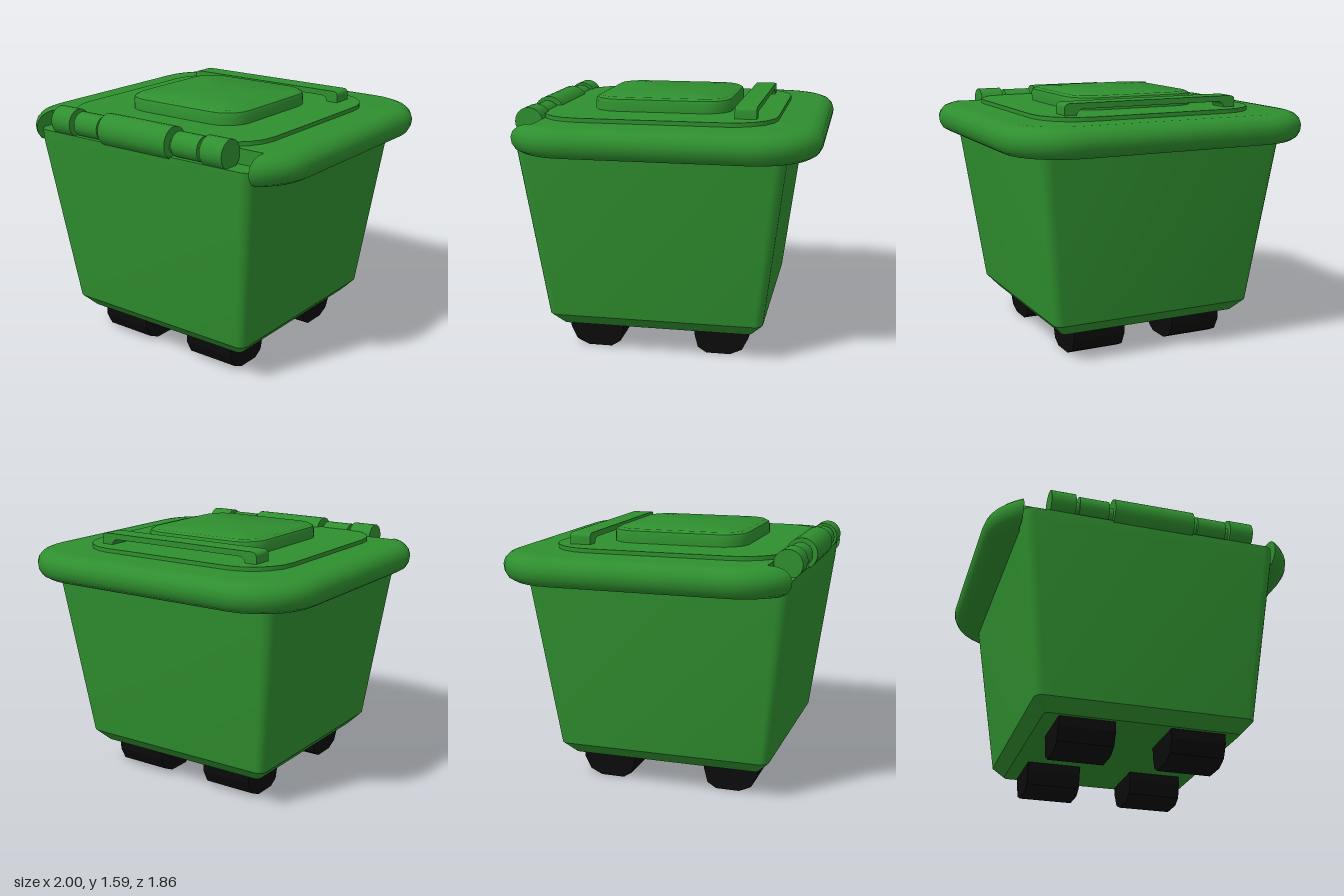
import * as THREE from 'three';
import { toCreasedNormals } from 'three/addons/utils/BufferGeometryUtils.js';

const green = new THREE.MeshStandardMaterial({ color: 0x2f8f2f });
const black = new THREE.MeshStandardMaterial({ color: 0x0b0b0b });

// Points [x, z] along a corner arc
function arc(cx, cz, r, from, to, steps) {
  return Array.from({ length: steps + 1 }, (_, i) => {
    const a = from + ((to - from) * i) / steps;
    return [cx + r * Math.cos(a), cz + r * Math.sin(a)];
  });
}

// Rounded square outline centred on z = cz
function roundedSquare(half, r, cz) {
  const c = half - r, q = Math.PI / 2;
  return [[c, c], [-c, c], [-c, -c], [c, -c]].flatMap(([x, z], i) =>
    arc(x, z + cz, r, i * q, (i + 1) * q, 5));
}

// Closed skin through rings of { y, pts }, listed from bottom to top
function loft(rings) {
  const n = rings[0].pts.length, pos = [], idx = [];
  rings.forEach(({ y, pts }) => pts.forEach(([x, z]) => pos.push(x, y, z)));
  for (let k = 0; k < rings.length - 1; k++) {
    for (let i = 0; i < n; i++) {
      const a = k * n + i, b = k * n + ((i + 1) % n);
      idx.push(a, a + n, b, b, a + n, b + n);
    }
  }
  const last = rings.length - 1, low = pos.length / 3, high = low + 1;
  pos.push(0, rings[0].y, 0.07, 0, rings[last].y, 0.07);
  for (let i = 0; i < n; i++) {
    const j = (i + 1) % n;
    idx.push(low, i, j, high, last * n + j, last * n + i);
  }
  const geo = new THREE.BufferGeometry();
  geo.setAttribute('position', new THREE.Float32BufferAttribute(pos, 3));
  geo.setIndex(idx);
  return toCreasedNormals(geo, 0.6);
}

// Lid outline, shrunk by inset, with a straight notch for the hinge at the front
function lidOutline(inset) {
  const r = 0.4 - inset, notchX = 0.81, notchZ = 0.75;
  const end = Math.acos((notchX - 0.6) / r), q = Math.PI / 2;
  return [
    ...arc(0.6, 0.55, r, 0, end, 6),
    [notchX, notchZ], [-notchX, notchZ],
    ...arc(-0.6, 0.55, r, Math.PI - end, Math.PI, 6),
    ...arc(-0.6, -0.53, r, Math.PI, Math.PI + q, 7),
    ...arc(0.6, -0.53, r, Math.PI + q, 2 * Math.PI, 7),
  ];
}

export function createModel() {
  const group = new THREE.Group();
  const add = (name, geo, mat = green) => {
    const mesh = new THREE.Mesh(geo, mat);
    mesh.name = name;
    group.add(mesh);
    return mesh;
  };

  // Tapered container with a chamfered base
  add('container', loft([
    [0.6, 0.03, 0.175], [0.67, 0.05, 0.25], [0.805, 0.07, 1.31], [0.81, 0.07, 1.39],
  ].map(([half, r, y]) => ({ y, pts: roundedSquare(half, r, 0.07) }))));

  // Lid with a rounded rim
  add('lid', loft([
    [0.11, 1.3], [0.06, 1.305], [0.025, 1.325], [0.005, 1.36], [0, 1.4],
    [0.012, 1.435], [0.04, 1.463], [0.075, 1.476], [0.11, 1.48],
  ].map(([inset, y]) => ({ y, pts: lidOutline(inset) }))));

  // Two raised steps on the lid
  add('lidPanel', loft([[0.72, 1.36], [0.72, 1.505]].map(([half, y]) =>
    ({ y, pts: roundedSquare(half, 0.28, 0.07) }))));
  add('lidTopPlate', loft([
    [0.43, 1.49], [0.43, 1.56], [0.422, 1.578], [0.4, 1.59],
  ].map(([half, y]) => ({ y, pts: roundedSquare(half, half - 0.26, 0.08) }))));

  // Arched pull handle
  const arch = new THREE.Shape();
  arch.moveTo(-0.575, 1.49);
  arch.lineTo(-0.5, 1.49);
  arch.quadraticCurveTo(-0.5, 1.54, -0.45, 1.54);
  arch.lineTo(0.45, 1.54);
  arch.quadraticCurveTo(0.5, 1.54, 0.5, 1.49);
  arch.lineTo(0.575, 1.49);
  arch.lineTo(0.575, 1.545);
  arch.quadraticCurveTo(0.575, 1.575, 0.54, 1.575);
  arch.lineTo(-0.54, 1.575);
  arch.quadraticCurveTo(-0.575, 1.575, -0.575, 1.545);
  const handleGeo = new THREE.ExtrudeGeometry(arch, { depth: 0.13, bevelEnabled: false, curveSegments: 5 });
  add('handle', toCreasedNormals(handleGeo, 0.6)).position.z = -0.535;

  // Hinge barrels: [name, centre x, length, radius]
  const barrels = [['hingeCentre', 0, 0.51, 0.097]];
  for (const s of [1, -1]) {
    const side = s > 0 ? 'Left' : 'Right';
    barrels.push([`hingeInner${side}`, s * 0.378, 0.185, 0.075]);
    barrels.push([`hingeOuter${side}`, s * 0.573, 0.152, 0.087]);
  }
  for (const [name, x, length, radius] of barrels) {
    const geo = new THREE.CylinderGeometry(radius, radius, length, 24).rotateZ(Math.PI / 2);
    add(name, geo).position.set(x, 1.462, 0.83);
  }
  add('hingePin', new THREE.CylinderGeometry(0.05, 0.05, 1.2, 16).rotateZ(Math.PI / 2))
    .position.set(0, 1.45, 0.83);

  // Four faceted wheels, mirrored left to right and front to back
  const profile = [[0.645, 0.24], [0.645, 0.115], [0.605, 0.035], [0.53, 0],
    [0.38, 0], [0.325, 0.035], [0.303, 0.12], [0.303, 0.24]];
  for (const front of [true, false]) {
    const pts = profile.map(([z, y]) => new THREE.Vector2(front ? -z : z - 0.145, y));
    const geo = new THREE.ExtrudeGeometry(new THREE.Shape(pts), { depth: 0.34, bevelEnabled: false })
      .translate(0, 0, -0.17).rotateY(Math.PI / 2);
    for (const s of [1, -1]) {
      add(`${front ? 'front' : 'back'}${s > 0 ? 'Left' : 'Right'}Wheel`, geo, black).position.x = s * 0.34;
    }
  }
  return group;
}
